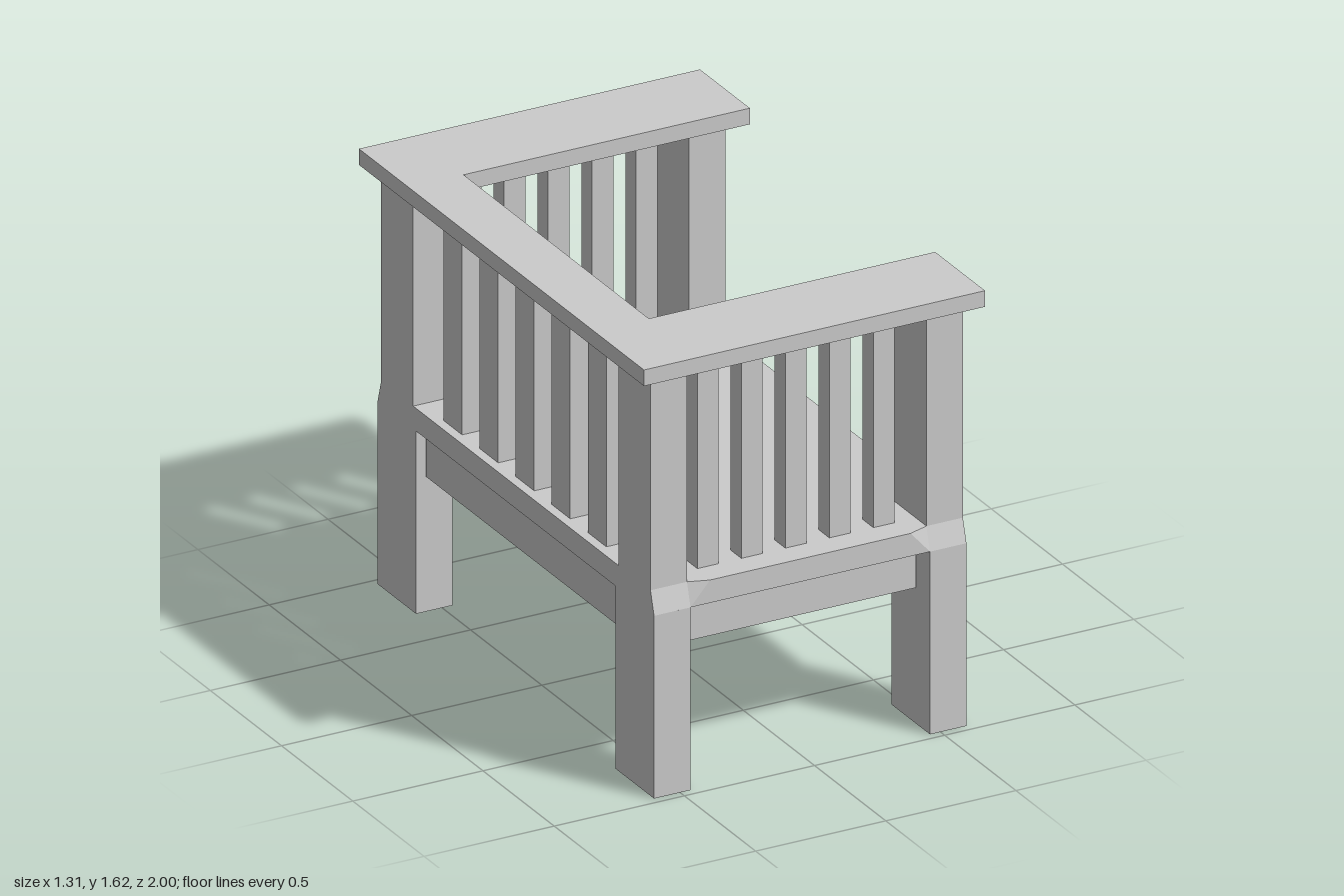
import * as THREE from 'three';

const material = new THREE.MeshStandardMaterial({ color: 0xcccccc, flatShading: true });

// Heights of the main levels
const LEG_TOP = 0.68, SEAT_TOP = 0.765, RAIL_BOTTOM = 1.56, RAIL_TOP = 1.62;

export function createModel() {
  const model = new THREE.Group();
  model.name = 'armchair';

  const add = (name, geometry) => {
    const mesh = new THREE.Mesh(geometry, material);
    mesh.name = name;
    model.add(mesh);
    return mesh;
  };

  // Box given by its extents on each axis
  const box = (name, [x0, x1], [y0, y1], [z0, z1]) => {
    const g = new THREE.BoxGeometry(Math.abs(x1 - x0), y1 - y0, Math.abs(z1 - z0));
    g.translate((x0 + x1) / 2, (y0 + y1) / 2, (z0 + z1) / 2);
    return add(name, g);
  };

  // Legs below the seat and slimmer posts above it
  for (const sx of [-1, 1]) {
    for (const sz of [-1, 1]) {
      box('leg', [0.46 * sx, 0.6 * sx], [0, LEG_TOP], [0.7 * sz, 0.97 * sz]);
      box('post', [0.46 * sx, 0.6 * sx], [SEAT_TOP, RAIL_BOTTOM], [0.72 * sz, 0.945 * sz]);
    }
  }

  // Seat with sloped shoulders at the legs
  add('seat', seatGeometry());

  // Apron boards between the legs
  for (const s of [-1, 1]) {
    box('sideApron', [-0.455, 0.455], [0.51, LEG_TOP], [0.8 * s, 0.88 * s]);
    box('longApron', [0.49 * s, 0.57 * s], [0.51, LEG_TOP], [-0.685, 0.685]);
  }

  // Slats of both arms and of the back
  for (let i = -2; i <= 2; i++) {
    const x = i * 0.169, z = i * 0.253;
    for (const s of [-1, 1]) {
      box('armSlat', [x - 0.041, x + 0.041], [SEAT_TOP, RAIL_BOTTOM], [0.795 * s, 0.87 * s]);
    }
    box('backSlat', [-0.565, -0.495], [SEAT_TOP, RAIL_BOTTOM], [z - 0.065, z + 0.065]);
  }

  // U-shaped top rail, drawn flat and laid down
  const outline = [
    [-0.655, -1], [0.655, -1], [0.655, -0.65], [-0.445, -0.65],
    [-0.445, 0.65], [0.655, 0.65], [0.655, 1], [-0.655, 1],
  ].map(([x, y]) => new THREE.Vector2(x, y));
  const rail = new THREE.ExtrudeGeometry(new THREE.Shape(outline), {
    depth: RAIL_TOP - RAIL_BOTTOM, bevelEnabled: false,
  });
  rail.rotateX(-Math.PI / 2).translate(0, RAIL_BOTTOM, 0);
  add('topRail', rail);

  return model;
}

// Slab lofted between a plain bottom outline and a notched top outline
function seatGeometry() {
  const bottomCorner = [[0.6, 0.97], [0.46, 0.97], [0.46, 0.97]];
  const topCorner = [[0.6, 0.945], [0.46, 0.945], [0.385, 0.97]];
  const loop = (corner, y) => {
    const mirror = (sx, sz) => corner.map(([x, z]) => [x * sx, y, z * sz]);
    return [
      ...mirror(1, 1), ...mirror(-1, 1).reverse(),
      ...mirror(-1, -1), ...mirror(1, -1).reverse(),
    ];
  };
  const low = loop(bottomCorner, LEG_TOP), high = loop(topCorner, SEAT_TOP);
  const positions = [];
  const tri = (...corners) => corners.forEach((c) => positions.push(...c));
  for (let i = 0; i < low.length; i++) {
    const j = (i + 1) % low.length;
    // Sides; the doubled bottom corner leaves a single triangle
    tri(low[i], high[j], low[j]);
    tri(low[i], high[i], high[j]);
    // Top and bottom fans
    tri([0, SEAT_TOP, 0], high[j], high[i]);
    tri([0, LEG_TOP, 0], low[i], low[j]);
  }
  const g = new THREE.BufferGeometry();
  g.setAttribute('position', new THREE.Float32BufferAttribute(positions, 3));
  g.computeVertexNormals();
  return g;
}
